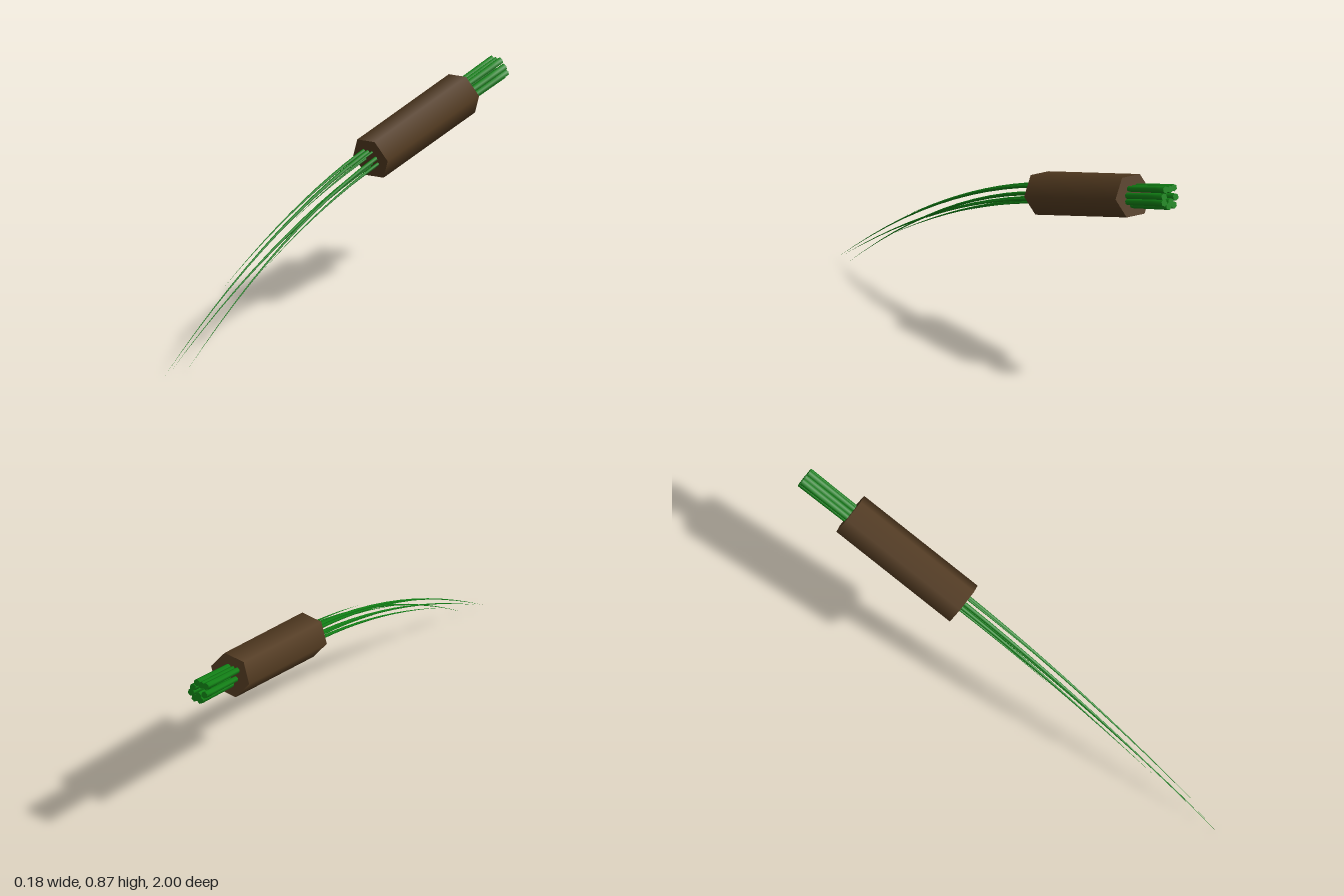
import * as THREE from 'three';

const TILT = THREE.MathUtils.degToRad(15);

// One tapering blade: straight through the sleeve, then drooping to a point.
// x, v: place in the bundle; tip: z of the point; droop: strength of the bend
function createBlade({ x, v, tip, droop }, material) {
  const geometry = new THREE.CylinderGeometry(0, 0.0145, 1, 6, 20);
  const pos = geometry.attributes.position;
  const back = -0.985 + v * Math.sin(TILT);
  const slope = Math.tan(TILT);
  for (let i = 0; i < pos.count; i++) {
    const z = THREE.MathUtils.lerp(back, tip, pos.getY(i) + 0.5);
    const bend = Math.max(0, z + 0.25);
    const y = 0.607 - slope * (z + 0.22) + v / Math.cos(TILT) - droop * bend * bend;
    const angle = Math.atan(slope + 2 * droop * bend);
    const across = -pos.getZ(i);
    pos.setXYZ(i, x + pos.getX(i), y + across * Math.cos(angle), z + across * Math.sin(angle));
  }
  geometry.computeVertexNormals();
  return new THREE.Mesh(geometry, material);
}

export function createModel() {
  const model = new THREE.Group();
  model.name = 'bladeBundle';
  const brown = new THREE.MeshStandardMaterial({ color: 0x523a20 });
  const green = new THREE.MeshStandardMaterial({ color: 0x108014 });

  // Six-sided sleeve, leaning down towards the front
  const sleeveGeometry = new THREE.CylinderGeometry(0.09, 0.09, 0.562, 6);
  sleeveGeometry.rotateY(Math.PI / 6 + THREE.MathUtils.degToRad(4));
  sleeveGeometry.rotateX(Math.PI / 2 + TILT);
  const sleeve = new THREE.Mesh(sleeveGeometry, brown);
  sleeve.name = 'sleeve';
  sleeve.position.set(0, 0.682, -0.494);
  model.add(sleeve);

  // Ring of blades of different lengths
  const blades = new THREE.Group();
  blades.name = 'blades';
  [
    { x: -0.027, v: 0.032, tip: 0.62, droop: 0.2 },
    { x: -0.007, v: 0.03, tip: 1.0, droop: 0.208 },
    { x: 0.015, v: 0.033, tip: 0.16, droop: 0.2 },
    { x: 0.029, v: 0.008, tip: 0.9, droop: 0.237 },
    { x: 0.034, v: -0.015, tip: 0.45, droop: 0.2 },
    { x: 0.014, v: -0.033, tip: 0.2, droop: 0.2 },
    { x: 0.0, v: -0.018, tip: 0.96, droop: 0.18 },
    { x: -0.012, v: -0.033, tip: 0.7, droop: 0.18 },
    { x: -0.027, v: -0.005, tip: 0.22, droop: 0.19 },
  ].forEach((spec, i) => {
    const blade = createBlade(spec, green);
    blade.name = `blade${i + 1}`;
    blades.add(blade);
  });
  model.add(blades);
  return model;
}
